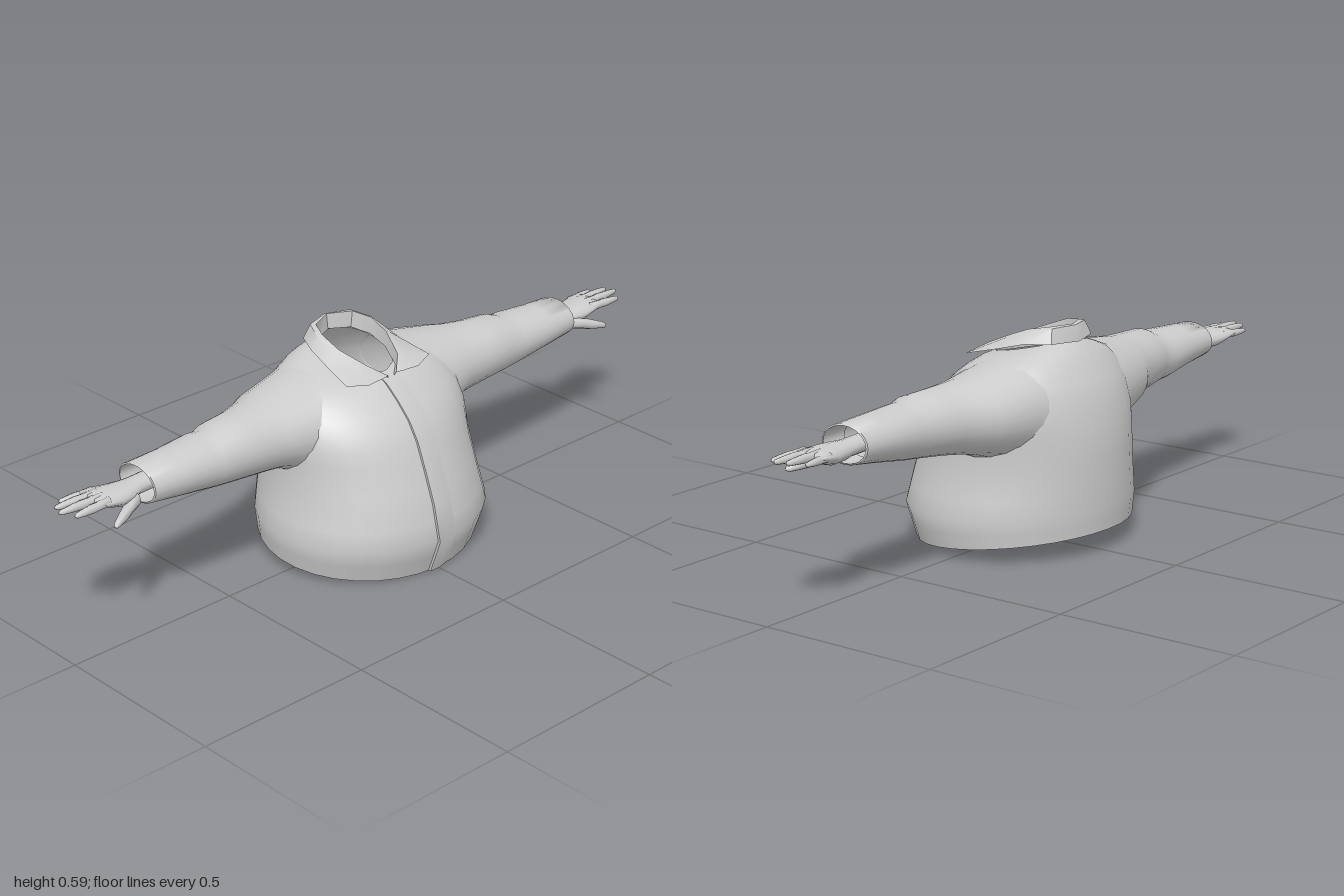
import * as THREE from 'three';
import { toCreasedNormals } from 'three/addons/utils/BufferGeometryUtils.js';

const material = new THREE.MeshStandardMaterial({ color: 0xcccccc, side: THREE.DoubleSide });
const V = (x, y, z) => new THREE.Vector3(x, y, z);
const lerp = THREE.MathUtils.lerp;

// Skin a surface over rows of points; closed rows wrap around.
function loft(rows, closed = true) {
  const n = rows[0].length, index = [];
  for (let i = 0; i < rows.length - 1; i++) {
    for (let j = 0; j < (closed ? n : n - 1); j++) {
      const k = (j + 1) % n, a = i * n + j, b = i * n + k;
      index.push(a, b, a + n, b, b + n, a + n);
    }
  }
  const g = new THREE.BufferGeometry().setFromPoints(rows.flat());
  g.setIndex(index);
  g.computeVertexNormals();
  return g;
}

// Mirror rows across x = 0, keeping the faces outward.
const mirror = (rows) => rows.map((r) => r.map((p) => V(-p.x, p.y, p.z)).reverse());

function mesh(name, geometry) {
  const m = new THREE.Mesh(geometry, material);
  m.name = name;
  return m;
}

// Torso sections: front y, back y, half width, front z, back z
const TORSO = [
  [0, 0.06, 0.31, 0.258, -0.288],
  [0.1, 0.12, 0.325, 0.293, -0.293],
  [0.2, 0.22, 0.302, 0.27, -0.293],
  [0.28, 0.3, 0.295, 0.24, -0.29],
  [0.36, 0.37, 0.3, 0.207, -0.278],
  [0.41, 0.43, 0.29, 0.175, -0.26],
  [0.45, 0.475, 0.265, 0.135, -0.235],
  [0.475, 0.51, 0.225, 0.105, -0.212],
  [0.49, 0.535, 0.16, 0.085, -0.188],
  [0.5, 0.55, 0.085, 0.05, -0.165],
];
function section(t) {
  const i = Math.min(Math.floor(t), TORSO.length - 2);
  return TORSO[i].map((v, k) => lerp(v, TORSO[i + 1][k], t - i));
}
function torsoPoint([yF, yB, w, zF, zB], angle) {
  const u = (1 - Math.cos(angle)) / 2;
  return V(w * Math.sin(angle), lerp(yF, yB, u), lerp(zF, zB, u));
}
// Half width of the torso at a height and depth, where a sleeve meets it
function torsoWidth(y, z) {
  for (let t = 0; t < TORSO.length - 1; t += 0.02) {
    const [yF, yB, w, zF, zB] = section(t);
    const u = (zF - z) / (zF - zB);
    if (lerp(yF, yB, u) >= y) return w * Math.sqrt(Math.max(0, 1 - (2 * u - 1) ** 2));
  }
  return 0.1;
}

// Oval cross-section facing along x
function oval([x, y, z, ry, rz], n) {
  return Array.from({ length: n }, (_, j) => {
    const a = (j / n) * Math.PI * 2;
    return V(x, y + ry * Math.cos(a), z + rz * Math.sin(a));
  });
}

// Rounded tapering digit between two points
function digit(from, to, r0, r1) {
  return [[0, 0.3], [0.04, 1], [0.35, 0.95], [0.5, 1.08], [0.75, 0.95], [0.93, 0.75], [1, 0.05]].map(([t, s]) => {
    const r = lerp(r0, r1, t) * s;
    return oval([lerp(from[0], to[0], t), lerp(from[1], to[1], t), lerp(from[2], to[2], t), r, r], 8);
  });
}

function createModel() {
  const group = new THREE.Group();
  group.name = 'shirtAndHands';

  // Shirt body, open at hem and neck
  const body = [];
  for (let t = 0; t <= TORSO.length - 1; t += 0.5) {
    body.push(Array.from({ length: 32 }, (_, j) => torsoPoint(section(t), (j / 32) * Math.PI * 2)));
  }
  group.add(mesh('shirtBody', loft(body)));

  // Overlapping front placket
  const placket = TORSO.map((s) => [[-0.03, -0.002], [-0.03, 0.006], [0, 0.006], [0.04, -0.002]].map(([x, lift]) => {
    const p = torsoPoint(s, Math.asin(x / s[2]));
    return p.add(V(0, 0, lift));
  }));
  group.add(mesh('frontPlacket', toCreasedNormals(loft(placket, false), 0.7)));

  // Folded collar: neck edge, stand, fold and falling edge, mirrored about the back
  const collarHalf = [
    [[0.005, 0.485, 0.075], [0.05, 0.5, 0.04], [0.08, 0.52, -0.03], [0.083, 0.535, -0.09], [0.06, 0.545, -0.14], [0, 0.55, -0.165]],
    [[0.015, 0.502, 0.082], [0.055, 0.53, 0.045], [0.085, 0.56, -0.03], [0.086, 0.582, -0.09], [0.065, 0.59, -0.14], [0, 0.592, -0.17]],
    [[0.03, 0.504, 0.09], [0.075, 0.527, 0.05], [0.098, 0.555, -0.03], [0.097, 0.578, -0.1], [0.072, 0.588, -0.155], [0, 0.59, -0.178]],
    [[0.09, 0.499, 0.088], [0.148, 0.508, 0.068], [0.132, 0.53, -0.03], [0.12, 0.548, -0.1], [0.088, 0.55, -0.165], [0, 0.548, -0.19]],
  ];
  const collar = collarHalf.map((row) => [
    ...row.map((p) => V(...p)),
    ...row.slice(0, -1).reverse().map(([x, y, z]) => V(-x, y, z)),
  ]);
  group.add(mesh('collar', toCreasedNormals(loft(collar, false), 0.7)));

  // Sleeve, fitted to the body and turned in at the cuff
  const root = oval([0, 0.397, -0.075, 0.118, 0.15], 24).map((p) => p.setX(torsoWidth(p.y, p.z) - 0.004));
  const sleeve = [
    root,
    ...[
      [0.32, 0.392, -0.066, 0.098, 0.122],
      [0.36, 0.393, -0.057, 0.092, 0.108],
      [0.42, 0.395, -0.048, 0.086, 0.096],
      [0.5, 0.398, -0.042, 0.08, 0.088],
      [0.53, 0.394, -0.04, 0.073, 0.081],
      [0.56, 0.396, -0.042, 0.071, 0.083],
      [0.66, 0.4, -0.038, 0.06, 0.076],
      [0.752, 0.404, -0.039, 0.051, 0.073],
      [0.754, 0.404, -0.039, 0.047, 0.068],
      [0.68, 0.402, -0.039, 0.045, 0.065],
    ].map((s) => oval(s, 24)),
  ];

  // Wrist and palm
  const palm = [
    [0.69, 0.4, -0.045, 0.022, 0.032],
    [0.76, 0.397, -0.045, 0.022, 0.031],
    [0.79, 0.394, -0.041, 0.025, 0.042],
    [0.83, 0.395, -0.042, 0.025, 0.05],
    [0.87, 0.402, -0.046, 0.018, 0.053],
    [0.895, 0.406, -0.047, 0.011, 0.051],
    [0.9, 0.406, -0.047, 0.001, 0.04],
  ].map((s) => oval(s, 14));

  // Digits: start, end, radii
  const digits = {
    thumb: [[0.775, 0.383, -0.012], [0.885, 0.357, 0.036], 0.019, 0.011],
    indexFinger: [[0.86, 0.405, -0.009], [0.975, 0.404, -0.002], 0.0135, 0.009],
    middleFinger: [[0.86, 0.408, -0.034], [1, 0.41, -0.033], 0.0135, 0.009],
    ringFinger: [[0.86, 0.408, -0.059], [0.99, 0.409, -0.063], 0.013, 0.009],
    littleFinger: [[0.855, 0.403, -0.083], [0.955, 0.403, -0.093], 0.012, 0.008],
  };

  for (const [side, place] of [['left', (r) => r], ['right', mirror]]) {
    group.add(mesh(side + 'Sleeve', toCreasedNormals(loft(place(sleeve)), 1.1)));
    const hand = new THREE.Group();
    hand.name = side + 'Hand';
    hand.add(mesh('palm', loft(place(palm))));
    for (const [name, d] of Object.entries(digits)) hand.add(mesh(name, loft(place(digit(...d)))));
    group.add(hand);
  }
  return group;
}

export { createModel };
